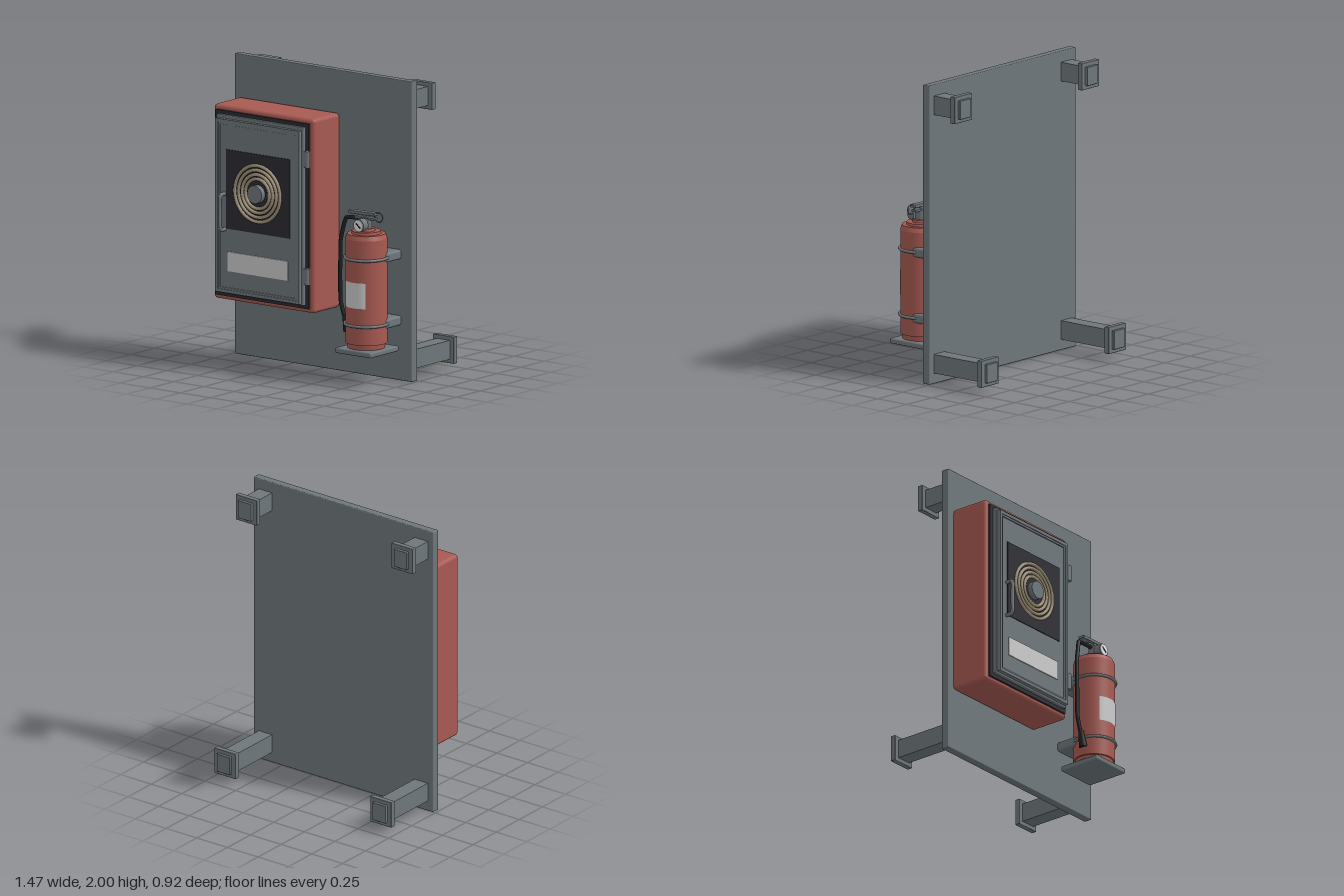
import * as THREE from 'three';
import { RoundedBoxGeometry } from 'three/addons/geometries/RoundedBoxGeometry.js';

const mat = (name, color, side = THREE.FrontSide) => {
  const m = new THREE.MeshStandardMaterial({ color, side });
  m.name = name;
  return m;
};

export function createModel() {
  const root = new THREE.Group();
  root.name = 'fireStation';
  const grey = mat('steel grey', 0x6f777b);
  const red = mat('safety red', 0xa85a52);
  const dark = mat('charcoal', 0x2b2b32);
  const black = mat('rubber black', 0x1f1f22);
  const tan = mat('hose tan', 0xa0927a);
  const paper = mat('label white', 0xcccccc, THREE.DoubleSide);
  const dial = mat('dial white', 0xe6e6e6);

  const add = (parent, name, geo, material, x = 0, y = 0, z = 0) => {
    const m = new THREE.Mesh(geo, material);
    m.name = name;
    m.position.set(x, y, z);
    parent.add(m);
    return m;
  };
  // Box given by its limits on each axis; r rounds the edges
  const box = (parent, name, material, [x0, x1], [y0, y1], [z0, z1], r = 0) => {
    const s = [x1 - x0, y1 - y0, z1 - z0];
    const geo = r ? new RoundedBoxGeometry(...s, 3, r) : new THREE.BoxGeometry(...s);
    return add(parent, name, geo, material, (x0 + x1) / 2, (y0 + y1) / 2, (z0 + z1) / 2);
  };
  const group = (name) => {
    const g = new THREE.Group();
    g.name = name;
    root.add(g);
    return g;
  };
  const path = (pts, tension = 0.2) =>
    new THREE.CatmullRomCurve3(pts.map((p) => new THREE.Vector3(...p)), false, 'catmullrom', tension);

  // Backboard
  box(root, 'backboard', grey, [-0.735, 0.732], [0, 2], [0, 0.057], 0.006);

  // Wall mounts: short above, long below
  for (const x of [-0.638, 0.634]) {
    for (const [y, len] of [[1.863, 0.17], [0.134, 0.4]]) {
      const g = group('wallMount');
      box(g, 'mountPost', grey, [x - 0.054, x + 0.054], [y - 0.063, y + 0.063], [-len, 0.01]);
      box(g, 'mountFlange', grey, [x - 0.087, x + 0.087], [y - 0.09, y + 0.09], [-len - 0.038, -len], 0.005);
      box(g, 'mountCap', grey, [x - 0.054, x + 0.054], [y - 0.063, y + 0.063], [-len - 0.058, -len - 0.03], 0.005);
    }
  }

  // Hose cabinet
  const cab = group('hoseCabinet');
  box(cab, 'cabinetBody', red, [-0.693, 0.14], [0.423, 1.717], [0.055, 0.335], 0.025);
  box(cab, 'doorSeal', dark, [-0.662, 0.108], [0.452, 1.686], [0.33, 0.35]);
  box(cab, 'doorBack', grey, [-0.638, 0.086], [0.476, 1.663], [0.35, 0.377], 0.006);
  box(cab, 'doorPanel', grey, [-0.59, 0.04], [0.515, 1.605], [0.37, 0.393]);

  // Raised door frame with a stepped inner lip
  const frame = (name, [x0, x1], [y0, y1], w, z0, z1) => {
    const s = new THREE.Shape([[x0, y0], [x1, y0], [x1, y1], [x0, y1]].map((p) => new THREE.Vector2(...p)));
    s.holes.push(new THREE.Path([[x0 + w, y0 + w], [x0 + w, y1 - w], [x1 - w, y1 - w], [x1 - w, y0 + w]]
      .map((p) => new THREE.Vector2(...p))));
    add(cab, name, new THREE.ExtrudeGeometry(s, { depth: z1 - z0, bevelEnabled: false }), grey, 0, 0, z0);
  };
  frame('doorFrame', [-0.624, 0.071], [0.488, 1.642], 0.022, 0.37, 0.405);
  frame('doorLip', [-0.602, 0.049], [0.51, 1.62], 0.013, 0.37, 0.399);

  // Window with the coiled hose behind a hub
  box(cab, 'window', dark, [-0.54, -0.012], [0.915, 1.442], [0.393, 0.399]);
  const hx = -0.275, hy = 1.18;
  for (const r of [0.187, 0.157, 0.127, 0.099]) {
    add(cab, 'hoseCoil', new THREE.TorusGeometry(r, 0.0115, 10, 64), tan, hx, hy, 0.403);
  }
  const hub = add(cab, 'hoseHub', new THREE.CylinderGeometry(0.06, 0.06, 0.04, 32), grey, hx, hy, 0.415);
  hub.rotation.x = Math.PI / 2;
  box(cab, 'doorLabel', paper, [-0.527, -0.028], [0.633, 0.762], [0.392, 0.4]);

  // Door handle and hinges
  const grip = path([[-0.55, 1.145, 0.395], [-0.55, 1.145, 0.438], [-0.55, 1.12, 0.448], [-0.552, 1.03, 0.448],
    [-0.55, 0.935, 0.448], [-0.55, 0.91, 0.438], [-0.55, 0.91, 0.395]]);
  add(cab, 'doorHandle', new THREE.TubeGeometry(grip, 48, 0.0125, 10), grey);
  for (const y of [1.455, 0.675]) {
    add(cab, 'hinge', new THREE.CylinderGeometry(0.018, 0.018, 0.11, 16), grey, 0.114, y, 0.372);
    box(cab, 'hingeLeaf', grey, [0.075, 0.114], [y - 0.05, y + 0.05], [0.36, 0.378]);
  }

  // Extinguisher stand: shelf, wall brackets and straps
  const cx = 0.513, cz = 0.258;
  const stand = group('extinguisherStand');
  box(stand, 'shelf', grey, [cx - 0.148, cx + 0.148], [0.205, 0.241], [0.1, 0.403], 0.01);
  for (const y of [0.4, 0.84]) {
    box(stand, 'bracket', grey, [cx - 0.133, cx + 0.133], [y - 0.033, y + 0.033], [0.05, 0.225], 0.018);
    const strap = add(stand, 'strap', new THREE.TorusGeometry(0.142, 0.01, 8, 48), grey, cx, y, cz);
    strap.rotation.x = Math.PI / 2;
  }

  // Extinguisher tank, built from stacked rings with crisp steps
  const ext = group('extinguisher');
  const ring = (name, r0, r1, y0, y1, material = red) =>
    add(ext, name, new THREE.CylinderGeometry(r1, r0, y1 - y0, 40), material, cx, (y0 + y1) / 2, cz);
  ring('tankFoot', 0.122, 0.126, 0.241, 0.28);
  ring('tankBody', 0.137, 0.137, 0.275, 0.97);
  ring('tankShoulder', 0.137, 0.125, 0.97, 1.0);
  ring('tankCollar', 0.098, 0.095, 1.0, 1.018);
  ring('tankNeck', 0.06, 0.055, 1.015, 1.036);
  ring('valveBody', 0.037, 0.037, 1.03, 1.1, grey);
  ring('valveStem', 0.018, 0.018, 1.1, 1.125, grey);

  // Curved paper label on the tank front
  add(ext, 'tankLabel', new THREE.CylinderGeometry(0.1395, 0.1395, 0.17, 20, 1, true, -0.63, 1.26), paper, cx, 0.605, cz);

  // Squeeze lever, carry lever and safety pin
  const lever = box(ext, 'squeezeLever', grey, [0.38, 0.597], [1.12, 1.142], [cz - 0.023, cz + 0.023], 0.005);
  lever.rotation.z = 0.02;
  box(ext, 'carryLever', grey, [0.43, 0.59], [1.092, 1.108], [cz - 0.02, cz + 0.02], 0.004);
  add(ext, 'safetyPin', new THREE.TorusGeometry(0.032, 0.0045, 8, 32), grey, 0.616, 1.115, cz);

  // Pressure gauge
  const gauge = add(ext, 'gaugeBody', new THREE.CylinderGeometry(0.042, 0.042, 0.05, 28), grey, cx, 1.06, 0.315);
  gauge.rotation.x = Math.PI / 2;
  const face = add(ext, 'gaugeDial', new THREE.CylinderGeometry(0.037, 0.037, 0.005, 28), dial, cx, 1.06, 0.342);
  face.rotation.x = Math.PI / 2;
  const needle = add(ext, 'gaugeNeedle', new THREE.BoxGeometry(0.045, 0.008, 0.003), black, cx, 1.06, 0.346);
  needle.rotation.z = -0.7;

  // Discharge hose and nozzle
  const hose = path([[0.5, 1.09, cz], [0.41, 1.09, cz], [0.352, 1.085, 0.262], [0.335, 1.03, 0.27], [0.315, 0.93, 0.276],
    [0.314, 0.74, 0.28], [0.316, 0.54, 0.28], [0.346, 0.43, 0.28]]);
  add(ext, 'hose', new THREE.TubeGeometry(hose, 60, 0.0135, 10), black);
  const nozzle = add(ext, 'nozzle', new THREE.CylinderGeometry(0.017, 0.028, 0.11, 16), black, 0.364, 0.385, 0.28);
  nozzle.rotation.z = 0.2;
  return root;
}
